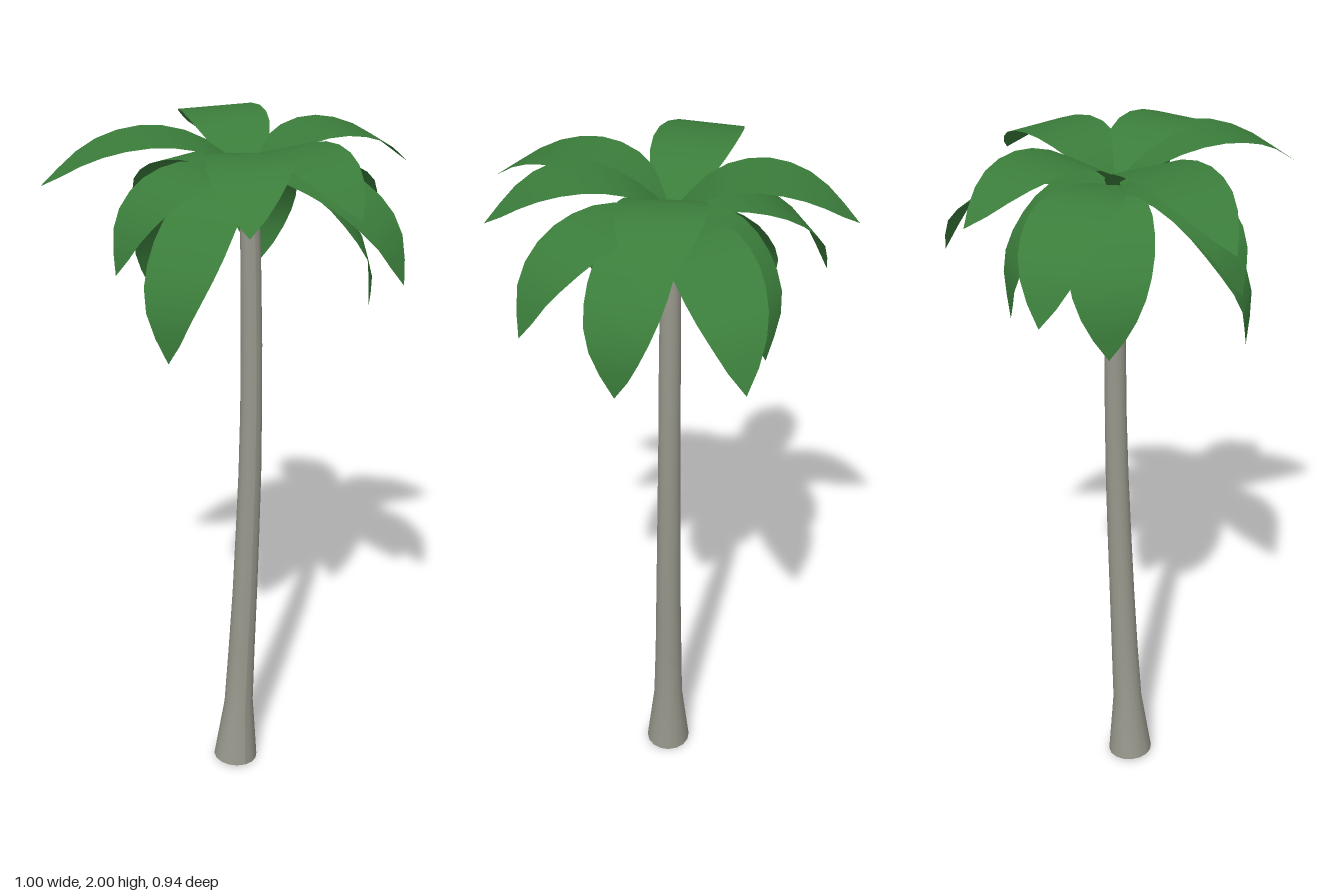
import * as THREE from 'three';

const leafGreen = new THREE.MeshStandardMaterial({ color: 0x3b7d3b, side: THREE.DoubleSide });
leafGreen.name = 'leaf green';
const barkGrey = new THREE.MeshStandardMaterial({ color: 0x98978c });
barkGrey.name = 'bark grey';

const crown = new THREE.Vector3(0.02, 1.88, 0);

// Arc of each tier as [distance from the crown, height]; the last point is the tip
const tiers = {
  upper: [[0, 1.885], [0.06, 1.94], [0.15, 1.985], [0.25, 1.995], [0.36, 1.965], [0.48, 1.88]],
  middle: [[0, 1.885], [0.09, 1.905], [0.18, 1.905], [0.3, 1.865], [0.4, 1.78], [0.45, 1.66]],
  lower: [[0, 1.87], [0.08, 1.885], [0.17, 1.85], [0.26, 1.76], [0.33, 1.64], [0.335, 1.5]],
};

// Tip positions of the fronds, going round the crown
const tips = {
  upper: [[0.475, 1.87, 0.06], [0.08, 1.885, 0.47], [-0.22, 1.885, 0.46], [-0.5, 1.88, -0.16], [0.095, 1.885, -0.47]],
  middle: [[0.5, 1.63, -0.17], [0.265, 1.66, 0.385], [-0.38, 1.68, 0.03], [-0.1, 1.66, -0.42]],
  lower: [[0.31, 1.51, 0.15], [-0.3, 1.47, 0.165], [-0.17, 1.53, -0.24], [0.18, 1.54, -0.24]],
};

// Half width of a frond at even steps from base to tip
const widths = [0.025, 0.06, 0.085, 0.102, 0.11, 0.111, 0.105, 0.092, 0.07, 0.04, 0];

// A flat strip bent along its tier's arc and tapered to a point
function makeFrond(profile, [tx, ty, tz]) {
  const [endR, endY] = profile[profile.length - 1];
  const dx = tx - crown.x, dz = tz - crown.z;
  const reach = Math.hypot(dx, dz);
  const ux = dx / reach, uz = dz / reach;
  const arc = new THREE.CatmullRomCurve3(profile.map(([r, y]) =>
    new THREE.Vector3((r * reach) / endR, y + (ty - endY) * (r / endR), 0)));
  const steps = widths.length - 1;
  const geo = new THREE.PlaneGeometry(1, 1, 2, steps);
  const pos = geo.attributes.position;
  for (let i = 0; i < pos.count; i++) {
    const row = Math.floor(i / 3);
    const p = arc.getPointAt(row / steps);
    const w = ((i % 3) - 1) * widths[row];
    pos.setXYZ(i, crown.x + ux * p.x + uz * w, p.y, crown.z + uz * p.x - ux * w);
  }
  // Turn the strip so its front faces up
  const index = geo.index.array;
  for (let i = 0; i < index.length; i += 3) [index[i], index[i + 1]] = [index[i + 1], index[i]];
  geo.computeVertexNormals();
  if (geo.attributes.normal.getY(16) < 0) {
    for (let i = 0; i < index.length; i += 3) [index[i], index[i + 1]] = [index[i + 1], index[i]];
    geo.computeVertexNormals();
  }
  return new THREE.Mesh(geo, leafGreen);
}

// Curved trunk with a flared foot: rings as [height, centre x, centre z, radius]
function makeTrunk() {
  const rings = [
    [0.005, -0.03, 0.01, 0.067], [0.21, -0.018, 0.01, 0.044], [0.4, -0.007, 0.009, 0.04],
    [0.6, 0.004, 0.009, 0.037], [0.8, 0.013, 0.008, 0.035], [1.0, 0.021, 0.007, 0.033],
    [1.2, 0.025, 0.006, 0.031], [1.4, 0.026, 0.005, 0.03], [1.65, 0.024, 0.003, 0.028],
    [1.885, 0.02, 0, 0.025],
  ];
  const last = rings.length - 1;
  const geo = new THREE.CylinderGeometry(1, 1, 1, 16, last);
  const pos = geo.attributes.position;
  for (let i = 0; i < pos.count; i++) {
    const [y, cx, cz, r] = rings[Math.round((pos.getY(i) + 0.5) * last)];
    const x = pos.getX(i);
    // The foot is cut slightly askew, following the lean
    const tilt = y < 0.1 ? -0.005 * x : 0;
    pos.setXYZ(i, cx + x * r, y + tilt, cz + pos.getZ(i) * r);
  }
  geo.computeVertexNormals();
  return new THREE.Mesh(geo, barkGrey);
}

export function createModel() {
  const palm = new THREE.Group();
  palm.name = 'palmTree';

  const trunk = makeTrunk();
  trunk.name = 'trunk';
  palm.add(trunk);

  for (const tier of Object.keys(tiers)) {
    const group = new THREE.Group();
    group.name = `${tier}Fronds`;
    tips[tier].forEach((tip, i) => {
      const frond = makeFrond(tiers[tier], tip);
      frond.name = `${tier}Frond${i + 1}`;
      group.add(frond);
    });
    palm.add(group);
  }
  return palm;
}
